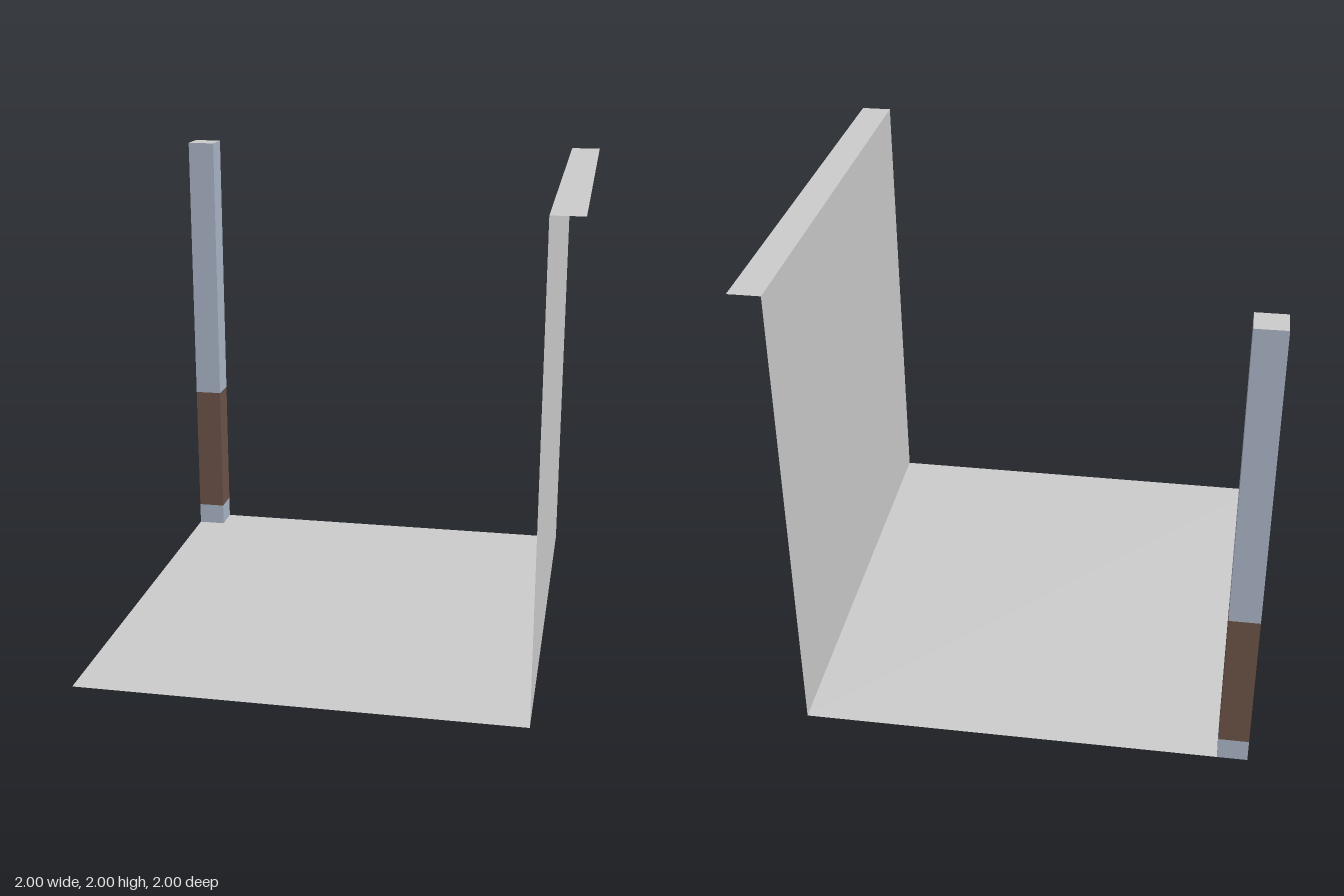
import * as THREE from 'three';

export function createModel() {
  const model = new THREE.Group();
  model.name = 'roomCorner';

  const plaster = new THREE.MeshStandardMaterial({ color: 0xcccccc, side: THREE.DoubleSide });
  plaster.name = 'pale grey';
  const slate = new THREE.MeshStandardMaterial({ color: 0xabb6c8 });
  slate.name = 'slate blue';
  const brown = new THREE.MeshStandardMaterial({ color: 0x6c5347 });
  brown.name = 'dark brown';

  const wallX = 0.87, height = 2, postWidth = 0.125;
  const postCentre = -1 + postWidth / 2;

  function add(parent, name, geometry, material, x, y, z) {
    const mesh = new THREE.Mesh(geometry, material);
    mesh.name = name;
    mesh.position.set(x, y, z);
    parent.add(mesh);
  }

  // Horizontal sheet facing up
  const sheet = (w, d) => new THREE.PlaneGeometry(w, d).rotateX(-Math.PI / 2);

  // Floor, side wall and the narrow ledge along the wall's top
  add(model, 'floor', sheet(1 + wallX, 2), plaster, (wallX - 1) / 2, 0, 0);
  add(model, 'wall', new THREE.PlaneGeometry(2, height).rotateY(Math.PI / 2), plaster, wallX, height / 2, 0);
  add(model, 'ledge', sheet(1 - wallX, 2), plaster, (1 + wallX) / 2, height, 0);

  // Square corner post in stacked open sections, closed by a cap
  const post = new THREE.Group();
  post.name = 'cornerPost';
  post.position.set(postCentre, 0, postCentre);
  model.add(post);
  const sections = [
    ['postFoot', 0, 0.1, slate],
    ['postBand', 0.1, 0.72, brown],
    ['postShaft', 0.72, height, slate],
  ];
  for (const [name, y0, y1, material] of sections) {
    const r = postWidth / Math.SQRT2;
    const sides = new THREE.CylinderGeometry(r, r, y1 - y0, 4, 1, true).rotateY(Math.PI / 4).toNonIndexed();
    sides.computeVertexNormals();
    add(post, name, sides, material, 0, (y0 + y1) / 2, 0);
  }
  add(post, 'postCap', sheet(postWidth, postWidth), plaster, 0, height, 0);

  return model;
}
